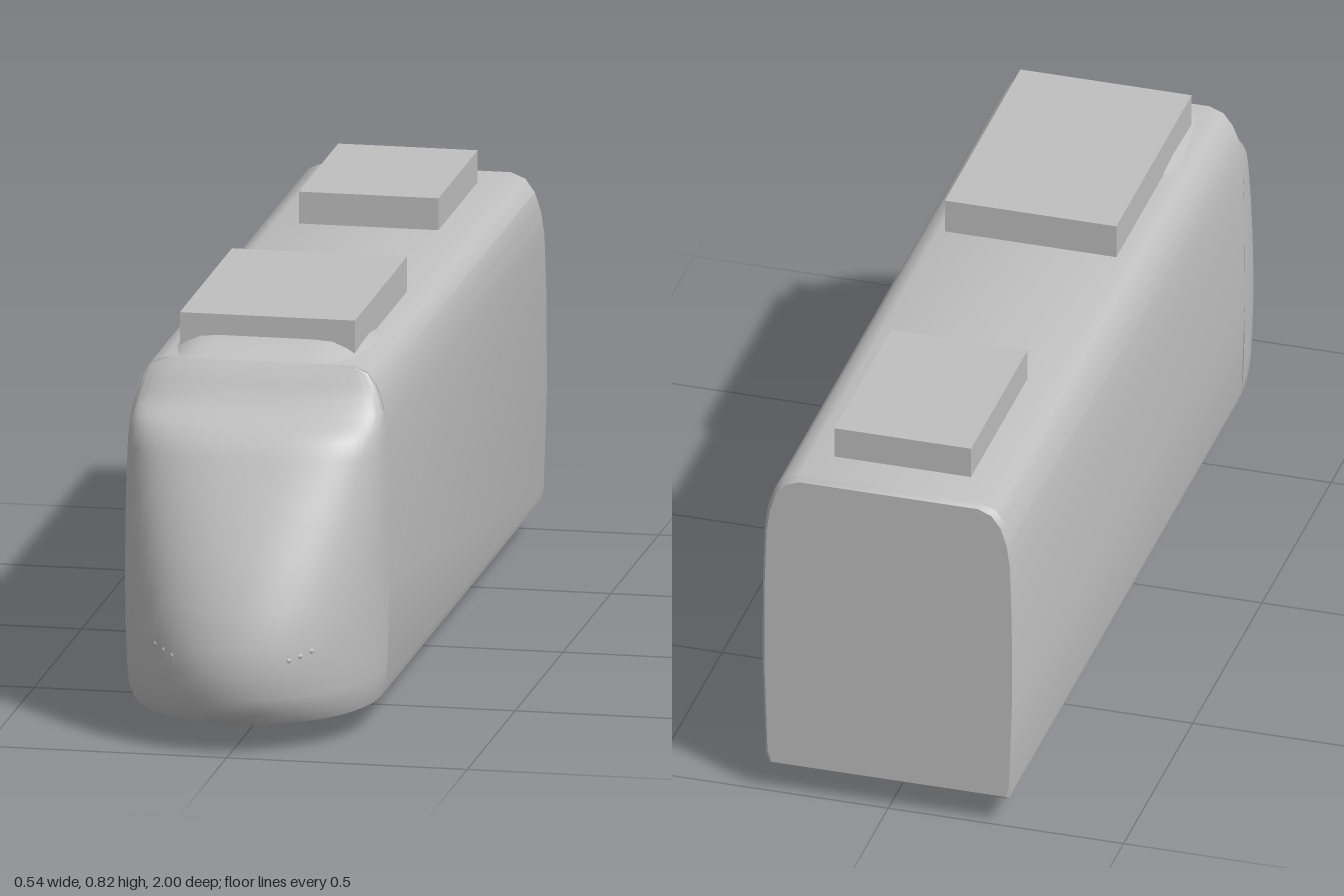
import * as THREE from 'three';
import { toCreasedNormals } from 'three/addons/utils/BufferGeometryUtils.js';

// Skin a list of equally long point rows; row step x point step faces outward
function loft(rows, crease = 0.7) {
  const n = rows[0].length, index = [];
  for (let i = 0; i < rows.length - 1; i++) {
    for (let j = 0; j < n - 1; j++) {
      const a = i * n + j, b = a + n;
      index.push(a, b, a + 1, b, b + 1, a + 1);
    }
  }
  const g = new THREE.BufferGeometry();
  g.setAttribute('position', new THREE.Float32BufferAttribute(rows.flat(2), 3));
  g.setIndex(index);
  return toCreasedNormals(g, crease);
}

export function createModel() {
  const group = new THREE.Group();
  const grey = new THREE.MeshStandardMaterial({ color: 0xc0c0c0 });
  grey.name = 'bodyGrey';

  function add(name, geometry, x = 0, y = 0, z = 0) {
    const mesh = new THREE.Mesh(geometry, grey);
    mesh.name = name;
    mesh.position.set(x, y, z);
    group.add(mesh);
    return mesh;
  }

  // Carriage: half section (x, y) mirrored, swept backwards, rear edge softened
  const half = [[0.255, 0.06], [0.263, 0.085], [0.27, 0.3], [0.269, 0.5], [0.265, 0.62],
    [0.258, 0.67], [0.245, 0.71], [0.225, 0.738], [0.195, 0.75]];
  const section = [...half, ...half.map(([x, y]) => [-x, y]).reverse(), half[0]];
  const ring = (z, s) => section.map(([x, y]) => [x * s, 0.4 + (y - 0.4) * s, z]);
  add('carriage', loft([ring(0.66, 0), ring(0.66, 1), ring(-0.99, 1), ring(-1, 0.975), ring(-1, 0)]));

  // Nose: rows of height, half width, depth, squareness of the plan curve
  const noseRows = [
    [0.06, 0.255, 0, 2], [0.06, 0.255, 0.295, 2], [0.085, 0.263, 0.32, 2], [0.12, 0.266, 0.334, 2],
    [0.17, 0.268, 0.34, 2], [0.22, 0.269, 0.336, 2.05], [0.3, 0.27, 0.311, 2.15],
    [0.4, 0.27, 0.265, 2.3], [0.5, 0.269, 0.21, 2.5], [0.58, 0.267, 0.163, 2.7],
    [0.615, 0.265, 0.142, 2.8], [0.64, 0.262, 0.108, 2.8], [0.658, 0.259, 0.068, 2.8],
    [0.685, 0.252, 0.042, 2.8], [0.71, 0.243, 0.028, 2.8], [0.735, 0.226, 0.012, 2.8],
    [0.75, 0.195, 0, 2.8]];
  const STEPS = 32;
  add('nose', loft(noseRows.map(([y, w, d, n]) =>
    Array.from({ length: STEPS + 1 }, (_, j) => {
      const t = Math.PI * j / STEPS, c = Math.cos(t), s = Math.max(Math.sin(t), 0);
      return [Math.sign(c) * w * Math.abs(c) ** (2 / n), y, 0.66 + d * s ** (2 / n)];
    })), 0.8));

  // Low roof fairing below the front unit: z, half width, height
  const fairing = [[0.66, 0.165, 0.75], [0.61, 0.18, 0.773], [0.57, 0.19, 0.78],
    [0.44, 0.203, 0.775], [0.38, 0.2, 0.765], [0.35, 0.185, 0.75]];
  add('roofFairing', loft(fairing.map(([z, w, h]) => {
    const side = [[w, 0.749], [w * 0.87, 0.75 + (h - 0.75) * 0.5], [w * 0.72, 0.75 + (h - 0.75) * 0.9], [w * 0.5, h]];
    return [...side, ...side.map(([x, y]) => [-x, y]).reverse()].map(([x, y]) => [x, y, z]);
  })));

  // Rooftop equipment boxes
  add('frontRoofUnit', new THREE.BoxGeometry(0.364, 0.077, 0.545), 0, 0.7845, 0.302);
  add('rearRoofUnit', new THREE.BoxGeometry(0.29, 0.07, 0.41), 0, 0.782, -0.69);

  for (const side of [-1, 1]) {
    // Wheels, half hidden in the floor
    for (const z of [0.015, -0.395]) {
      const wheel = new THREE.CylinderGeometry(0.06, 0.06, 0.022, 8).rotateZ(Math.PI / 2);
      add('wheel', toCreasedNormals(wheel, 0.9), side * 0.171, 0.06, z);
    }
    // Small headlamps almost flush with the nose
    for (const [x, y] of [[0.12, 0.2], [0.14, 0.207], [0.16, 0.215]]) {
      const z = 0.66 + 0.337 * Math.sqrt(1 - (x / 0.269) ** 2);
      add('headlamp', new THREE.SphereGeometry(0.007, 10, 8), side * x, y, z - 0.004);
    }
  }
  return group;
}
